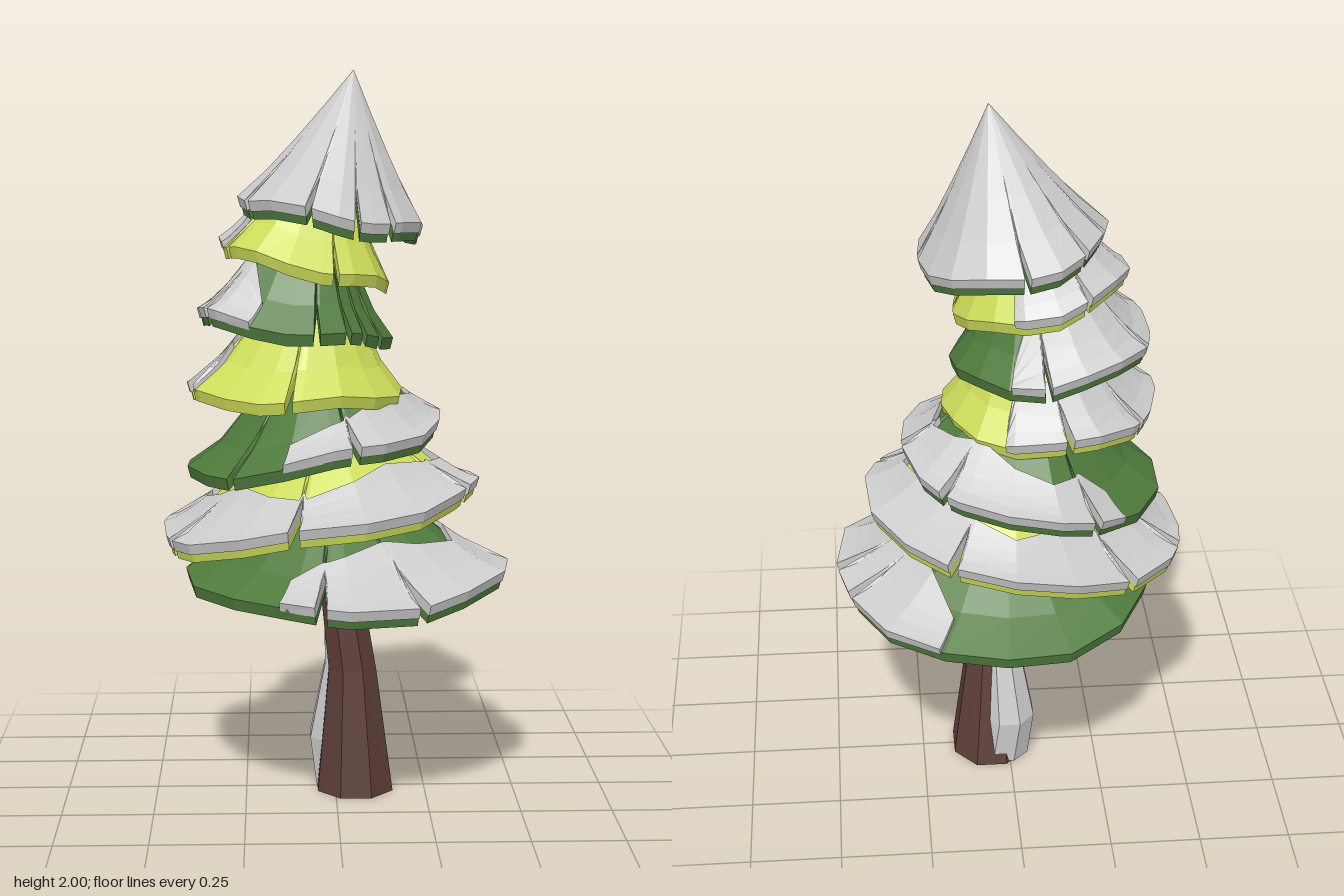
import * as THREE from 'three';

const SNOW = 0xcccccc, DARK = 0x4f7a3c, LIME = 0xcddc5a, BARK = 0x5c3d38;
const rad = THREE.MathUtils.degToRad;

// Joins closed loops of points into a faceted solid; wraps round or caps both ends
function loft(name, color, loops, wrap) {
  const pos = [], n = loops[0].length;
  const quad = (a, b, c, d) => [a, b, c, a, c, d].forEach(p => pos.push(p.x, p.y, p.z));
  const last = wrap ? loops.length : loops.length - 1;
  for (let i = 0; i < last; i++) {
    const s = loops[i], t = loops[(i + 1) % loops.length];
    for (let j = 0; j < n; j++) quad(s[j], t[j], t[(j + 1) % n], s[(j + 1) % n]);
  }
  if (!wrap) {
    const s = loops[0], t = loops[loops.length - 1];
    for (let k = 0; k < n / 2 - 1; k++) {
      quad(s[k], s[k + 1], s[n - 2 - k], s[n - 1 - k]);
      quad(t[n - 1 - k], t[n - 2 - k], t[k + 1], t[k]);
    }
  }
  const geo = new THREE.BufferGeometry();
  geo.setAttribute('position', new THREE.Float32BufferAttribute(pos, 3));
  geo.computeVertexNormals();
  const mesh = new THREE.Mesh(geo, new THREE.MeshStandardMaterial({ color, flatShading: true, side: THREE.DoubleSide }));
  mesh.name = name;
  return mesh;
}

// Skirts from bottom to top. c: rim centre [x, z], r: rim radii [x, z],
// y: rim height [mean, tilt along x, saddle], apex: [x, y], bend: profile power,
// slits: degrees (0 = +x, 90 = front), snow: [from, to, upper edge]
const TIERS = [
  { color: DARK, c: [0.03, 0], r: [0.445, 0.44], y: [0.61, 0, 0.022], apex: [0, 1.02], bend: 1.4,
    slits: [-20, -3, 64, 100], snow: [-66, 115, 0.62] },
  { color: LIME, c: [-0.045, 0], r: [0.43, 0.415], y: [0.795, 0.07, 0], apex: [-0.02, 1.22], bend: 1.4,
    slits: [22, 100, 157, 200, 232, 300], snow: [0, 360, 0.67] },
  { color: DARK, c: [-0.06, -0.02], r: [0.35, 0.375], y: [0.975, 0.062, 0], apex: [-0.05, 1.41], bend: 1.45,
    slits: [-8, 72, 130, 245, 315], snow: [-132, 104, 0.68] },
  { color: LIME, c: [-0.105, 0.015], r: [0.29, 0.28], y: [1.135, 0, 0], apex: [-0.04, 1.62], bend: 1.35,
    slits: [95, 165, 215, 262], snow: [160, 296, 0.6] },
  { color: DARK, c: [-0.11, 0], r: [0.265, 0.265], y: [1.315, -0.03, 0], apex: [-0.05, 1.8], bend: 1.4,
    slits: [28, 45, 58, 78, 150, 205, 275], snow: [118, 296, 0.53] },
  { color: LIME, c: [-0.08, 0.01], r: [0.23, 0.225], y: [1.485, -0.05, 0], apex: [-0.02, 1.87], bend: 1.2,
    slits: [0, 70, 160, 240], snow: [168, 290, 0.55] },
  { color: DARK, c: [-0.011, 0], r: [0.242, 0.245], y: [1.605, -0.042, 0], apex: [0.05, 1.982], bend: 1.13,
    slits: [0, 50, 75, 105, 155, 200, 225, 265], snow: [0, 360, 0] },
];

function buildTier(tier, index) {
  const group = new THREE.Group();
  group.name = `foliageTier${index + 1}`;

  // Point on the skirt: t = 0 at the apex, 1 at the rim
  const point = (a, t, lift, out) => {
    const wob = 1 + 0.02 * Math.sin(5 * a + index * 2);
    const rimY = tier.y[0] + tier.y[1] * Math.cos(a) + tier.y[2] * Math.cos(2 * a) + 0.01 * Math.sin(4 * a + index);
    const x = tier.c[0] + tier.r[0] * wob * Math.cos(a);
    const z = tier.c[1] + tier.r[1] * wob * Math.sin(a);
    const h = Math.pow(1 - t, tier.bend);
    return new THREE.Vector3(
      THREE.MathUtils.lerp(tier.apex[0], x, t) + out * t * Math.cos(a),
      THREE.MathUtils.lerp(rimY, tier.apex[1], h) + lift,
      z * t + out * t * Math.sin(a));
  };

  // Columns round the skirt: even facets, plus three narrow ones at each slit
  const gap = (a, b) => Math.abs(((a - b + 540) % 360) - 180);
  const columns = [];
  for (let k = 0; k < 16; k++) {
    const deg = k * 22.5 + index * 7;
    if (tier.slits.every(s => gap(deg, s) > 6)) columns.push({ deg: deg % 360, end: 1 });
  }
  tier.slits.forEach(s => [-2, 0, 2].forEach(d =>
    columns.push({ deg: (s + d + 720) % 360, end: d ? 1 : 0.74 })));
  columns.sort((p, q) => p.deg - q.deg);

  // Closed cross-section: upper face outwards, lower face back inwards
  const section = (deg, from, to, lift, out, thick) => {
    const a = rad(deg), top = [], under = [];
    for (let k = 0; k <= 4; k++) {
      const t = from + (to - from) * k / 4;
      top.push(point(a, t, lift, out));
      under.unshift(point(a, t, lift - thick, out - 0.008));
    }
    return [...top, ...under];
  };

  group.add(loft('foliage', tier.color,
    columns.map(c => section(c.deg, 0, c.end, 0, 0, 0.032)), true));

  // Snow lies on the lower part of the skirt, with an uneven upper edge
  const [from, to, edge] = tier.snow, full = to - from === 360;
  const upper = deg => edge ? edge + 0.07 * Math.sin(rad(deg * 4) + index) : 0;
  const snowy = columns
    .map(c => ({ ...c, deg: from + ((c.deg - from) % 360 + 360) % 360 }))
    .filter(c => full || (c.deg > from + 3 && c.deg < to - 3))
    .sort((p, q) => p.deg - q.deg);
  const loops = snowy.map(c => section(c.deg, Math.min(upper(c.deg), c.end - 0.05), c.end, 0.018, 0.01, 0.028));
  if (!full) {
    loops.unshift(section(from, 0.8, 1, 0.014, 0.006, 0.023));
    loops.push(section(to, 0.8, 1, 0.014, 0.006, 0.023));
  }
  group.add(loft('snow', SNOW, loops, full));
  return group;
}

// Trunk levels: height, centre x, centre z, radius x, radius z
const TRUNK = [
  [0, 0.055, 0.005, 0.108, 0.125], [0.35, 0.047, 0.025, 0.068, 0.075],
  [0.57, 0.017, 0.025, 0.06, 0.068], [1.0, -0.03, 0.01, 0.042, 0.045], [1.35, -0.04, 0, 0.02, 0.02],
];
// Snow drift against the back left of the trunk, same layout
const DRIFT = [
  [0.004, 0.02, -0.035, 0.075, 0.075], [0.14, 0.003, -0.035, 0.075, 0.085],
  [0.36, 0.02, 0, 0.05, 0.055], [0.55, 0, 0.005, 0.03, 0.035],
];

export function createModel() {
  const model = new THREE.Group();
  model.name = 'snowyTree';

  const ring = ([y, cx, cz, rx, rz]) => Array.from({ length: 8 }, (_, k) => {
    const a = rad(k * 45 + 22.5);
    return new THREE.Vector3(cx + rx * Math.cos(a) * 1.05, y, cz + rz * Math.sin(a) * 1.05);
  });
  model.add(loft('trunk', BARK, TRUNK.map(ring), false));
  model.add(loft('trunkSnow', SNOW, DRIFT.map(ring), false));

  TIERS.forEach((tier, i) => model.add(buildTier(tier, i)));
  return model;
}
